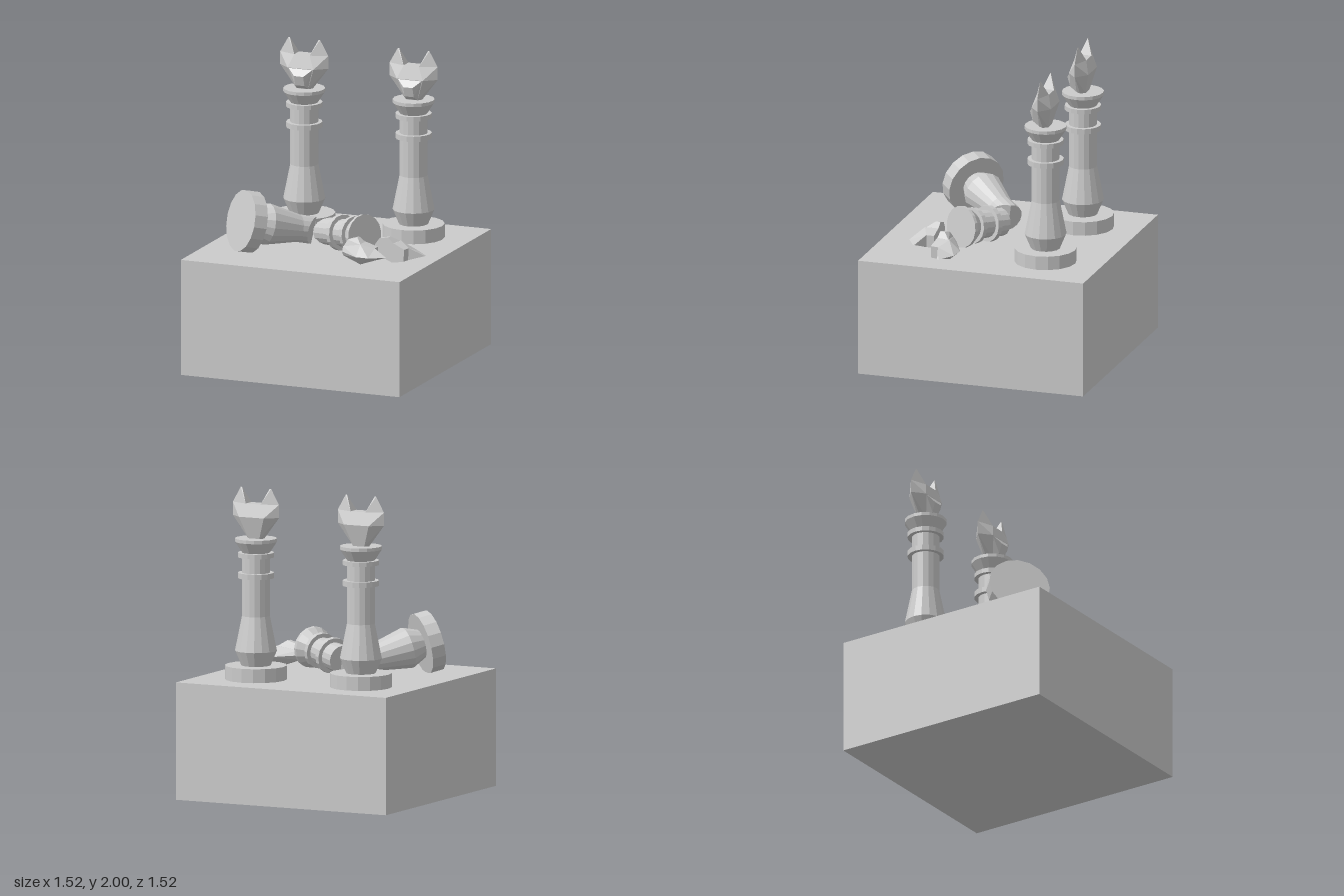
import * as THREE from 'three';
import { mergeGeometries } from 'three/addons/utils/BufferGeometryUtils.js';
import { ConvexGeometry } from 'three/addons/geometries/ConvexGeometry.js';

const material = new THREE.MeshStandardMaterial({ color: 0xcccccc, flatShading: true });
const GROUND = 0.76;
const SIDES = 16;

// Column outline as [radius, height above the block]
const lower = [[0, 0], [0.2, 0], [0.2, 0.09], [0.095, 0.09], [0.135, 0.185], [0.09, 0.41]];
const upper = [
  [0.09, 0.655], [0.117, 0.655], [0.117, 0.69], [0.09, 0.69],
  [0.09, 0.79], [0.117, 0.79], [0.117, 0.82], [0.09, 0.82],
  [0.135, 0.89], [0.135, 0.912], [0, 0.912],
];

function lathe(profile) {
  return new THREE.LatheGeometry(profile.map(([r, y]) => new THREE.Vector2(r, y)), SIDES);
}

// Slants the broken end, which lies at height cutY, on its +x half
function breakEnd(geometry, cutY, slope) {
  const p = geometry.attributes.position;
  for (let i = 0; i < p.count; i++) {
    if (Math.abs(p.getY(i) - cutY) < 1e-4) p.setY(i, cutY - slope * Math.max(0, p.getX(i)));
  }
  geometry.computeVertexNormals();
  return geometry;
}

// Two-pronged crown; sides [1, -1] is whole, [1, 0] or [-1, 0] is one half
function crown(sides) {
  const hull = (points, signs) => new ConvexGeometry(
    signs.flatMap((s) => points.map(([x, y, z]) => new THREE.Vector3(x * s, y, z))));
  const bothZ = ([x, y, z]) => [[x, y, z], [x, y, -z]];
  const body = [
    [0.06, 0, 0], [0.167, 0.14, 0], [0.167, 0.225, 0],
    ...[[0.04, 0, 0.03], [0.09, 0.14, 0.065], [0.053, 0.225, 0.04]].flatMap(bothZ),
  ];
  const snout = [[0.085, 0.14, 0.062], [0.032, 0.095, 0.095], [0.032, 0.03, 0.075], [0.04, 0, 0.028], [0.03, 0.07, 0]];
  const horn = [[0.167, 0.225, 0], [0.053, 0.225, 0.04], [0.053, 0.225, -0.04], [0.1, 0.325, 0], [0.11, 0.325, 0]];
  const parts = [hull(body, sides), hull(snout, sides)];
  for (const s of sides) if (s !== 0) parts.push(hull(horn, [s]));
  return mergeGeometries(parts);
}

function add(parent, name, geometry, x = 0, y = 0, z = 0) {
  const mesh = new THREE.Mesh(geometry, material);
  mesh.name = name;
  mesh.position.set(x, y, z);
  parent.add(mesh);
  return mesh;
}

// Lays a part down: its x axis along side, its y axis along axis
function lay(mesh, side, axis) {
  const x = new THREE.Vector3(...side).normalize();
  const y = new THREE.Vector3(...axis).normalize();
  const z = new THREE.Vector3().crossVectors(x, y).normalize();
  x.crossVectors(y, z);
  mesh.quaternion.setFromRotationMatrix(new THREE.Matrix4().makeBasis(x, y, z));
  return mesh;
}

export function createModel() {
  const model = new THREE.Group();
  model.name = 'brokenPillars';

  add(model, 'block', new THREE.BoxGeometry(1.52, GROUND, 1.52), 0, GROUND / 2, 0);

  // Two standing pillars at the back
  for (const [side, name] of [[1, 'leftPillar'], [-1, 'rightPillar']]) {
    const pillar = new THREE.Group();
    pillar.name = name;
    pillar.position.set(side * 0.38, GROUND, -0.38);
    add(pillar, 'column', lathe([...lower, ...upper]));
    add(pillar, 'crown', crown([1, -1]), 0, 0.912, 0);
    model.add(pillar);
  }

  // Fallen pillar, snapped through the shaft
  const stump = breakEnd(lathe([...lower, [0.09, 0.53], [0, 0.53]]), 0.53, 0.95);
  lay(add(model, 'fallenBase', stump, -0.485, 0.968, 0.42), [0.74, 0, 0.67], [0.655, -0.225, -0.725]);

  const top = breakEnd(lathe([[0, 0.56], [0.09, 0.56], ...upper]), 0.56, 0.8);
  top.translate(0, -0.912, 0);
  lay(add(model, 'fallenCapital', top, 0.292, 0.9, 0.22), [-0.48, 0, 0.87], [0.87, 0.12, 0.48]);

  // Its crown, split into two halves
  lay(add(model, 'crownHalfFront', crown([1, 0]), 0.215, 0.83, 0.353), [0, 0, 1], [1, 0, 0]);
  lay(add(model, 'crownHalfBack', crown([-1, 0]), 0.385, 0.835, 0.276), [-0.19, 0, 0.98], [0.975, -0.08, 0.19]);

  return model;
}
